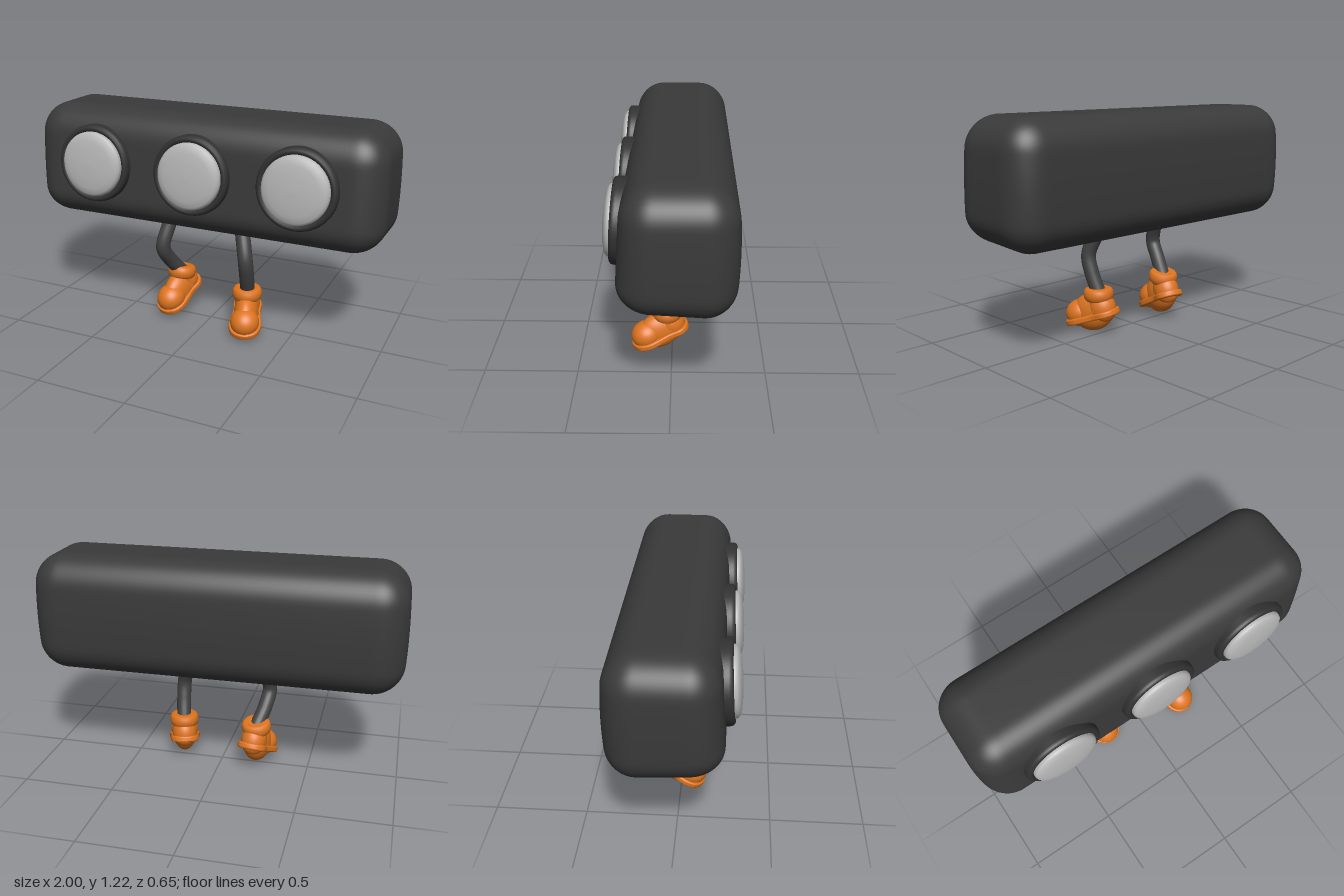
import * as THREE from 'three';
import { mergeVertices } from 'three/addons/utils/BufferGeometryUtils.js';

const mat = (name, color) => {
  const m = new THREE.MeshStandardMaterial({ color });
  m.name = name;
  return m;
};

function part(name, geometry, material, parent, x = 0, y = 0, z = 0) {
  const mesh = new THREE.Mesh(geometry, material);
  mesh.name = name;
  mesh.position.set(x, y, z);
  parent.add(mesh);
  return mesh;
}

const lathe = (points, segments = 48) =>
  new THREE.LatheGeometry(points.map(([r, y]) => new THREE.Vector2(r, y)), segments);

// Puffy box: rounded corners, swollen back, front leaning slightly backwards
function bodyGeometry() {
  const half = new THREE.Vector3(1, 0.325, 0.28), r = 0.16;
  let g = new THREE.BoxGeometry(2, 0.65, 0.56, 80, 28, 28);
  g.deleteAttribute('uv');
  g.deleteAttribute('normal');
  g = mergeVertices(g);
  const pos = g.attributes.position;
  const p = new THREE.Vector3(), inner = new THREE.Vector3();
  const limit = half.clone().subScalar(r);
  for (let i = 0; i < pos.count; i++) {
    p.fromBufferAttribute(pos, i);
    inner.copy(p).clamp(limit.clone().negate(), limit);
    p.sub(inner).normalize().multiplyScalar(r).add(inner);
    const v = p.y / half.y, w = p.z / half.z;
    if (w < 0) p.z *= 1 - 0.07 * v * v;
    else p.z -= 0.02 * v * w;
    if (v < 0) p.y += 0.018 * (w + 0.5) * -v;
    p.x *= 1 - 0.015 * v * v;
    pos.setXYZ(i, p.x, p.y, p.z);
  }
  g.computeVertexNormals();
  return g;
}

// Flat sole with a narrow waist and a broad toe
function soleGeometry() {
  const side = [[0.045, -0.065], [0.07, -0.03], [0.068, 0.04], [0.078, 0.11], [0.08, 0.165], [0.058, 0.215]];
  const outline = [[0, -0.078], ...side, [0, 0.238], ...side.slice().reverse().map(([x, z]) => [-x, z])];
  const curve = new THREE.CatmullRomCurve3(outline.map(([x, z]) => new THREE.Vector3(x, z, 0)), true);
  const shape = new THREE.Shape(curve.getPoints(56).slice(0, -1).map(p => new THREE.Vector2(p.x, p.y)));
  const g = new THREE.ExtrudeGeometry(shape, {
    depth: 0.016, bevelEnabled: true, bevelThickness: 0.009, bevelSize: 0.009, bevelSegments: 4,
  });
  return g.rotateX(Math.PI / 2);
}

export function createModel() {
  const dark = mat('charcoal', 0x3a3a3a);
  const legDark = mat('leg grey', 0x414141);
  const rimDark = mat('rim black', 0x323232);
  const light = mat('lens grey', 0xb8b8b8);
  const orange = mat('shoe orange', 0xdc7420);

  const model = new THREE.Group();
  model.name = 'walkingLightBox';
  part('body', bodyGeometry(), dark, model, 0, 0.883, -0.04);

  // Three lamps: soft raised rim and domed lens
  const rim = lathe([[0.213, -0.06], [0.213, 0.02], [0.209, 0.034], [0.199, 0.042], [0.187, 0.042], [0.178, 0.034], [0.17, 0.02]]);
  const lens = lathe([[0.178, 0.01], [0.178, 0.044], [0.174, 0.056], [0.162, 0.066], [0.13, 0.075], [0.07, 0.081], [0, 0.083]]);
  for (const x of [-0.582, 0, 0.577]) {
    const lamp = new THREE.Group();
    lamp.name = 'lamp';
    lamp.position.set(x, 0.917, 0.24);
    lamp.rotation.x = Math.PI / 2 - 0.06;
    part('lampRim', rim, rimDark, lamp);
    part('lampLens', lens, light, lamp);
    model.add(lamp);
  }

  // Shared shoe pieces
  const sole = soleGeometry();
  const ball = new THREE.SphereGeometry(1, 36, 24);
  const toe = ball.clone().scale(0.08, 0.076, 0.085);
  const vamp = ball.clone().scale(0.069, 0.105, 0.13);
  const heel = ball.clone().scale(0.071, 0.09, 0.078);
  const ankle = lathe([[0.07, -0.09], [0.067, -0.06], [0.063, -0.03], [0.063, 0.015]]);
  const collar = lathe([[0.05, -0.034], [0.068, -0.034], [0.079, -0.022], [0.083, 0], [0.08, 0.022], [0.07, 0.034], [0.05, 0.036], [0, 0.03]]);

  function shoe(name, x, y, z, yaw, pitch, collarTilt) {
    const g = new THREE.Group();
    g.name = name;
    g.position.set(x, y, z);
    g.rotation.y = yaw;
    const foot = new THREE.Group();
    foot.name = 'foot';
    foot.rotation.x = pitch;
    part('sole', sole, orange, foot, 0, -0.105, 0);
    part('toeCap', toe, orange, foot, 0, -0.078, 0.152);
    part('instep', vamp, orange, foot, 0, -0.088, 0.07);
    part('heel', heel, orange, foot, 0, -0.075, 0.002);
    part('ankle', ankle, orange, g).rotation.x = pitch * 0.5;
    part('collar', collar, orange, g).rotation.x = collarTilt;
    g.add(foot);
    model.add(g);
  }
  shoe('leftShoe', 0.235, 0.203, 0.028, 0.28, 0.33, 0.03);
  shoe('rightShoe', -0.207, 0.233, -0.04, -0.22, 0.45, -0.2);

  // Bent noodle legs
  const leg = (name, pts) => {
    const path = new THREE.CatmullRomCurve3(pts.map(p => new THREE.Vector3(...p)));
    part(name, new THREE.TubeGeometry(path, 40, 0.041, 20), legDark, model);
  };
  leg('leftLeg', [[0.185, 0.62, 0.015], [0.212, 0.55, 0.05], [0.247, 0.42, 0.094], [0.247, 0.32, 0.07], [0.236, 0.21, 0.025]]);
  leg('rightLeg', [[-0.225, 0.62, 0.015], [-0.238, 0.55, 0.05], [-0.258, 0.42, 0.092], [-0.243, 0.33, 0.04], [-0.207, 0.23, -0.042]]);

  return model;
}
